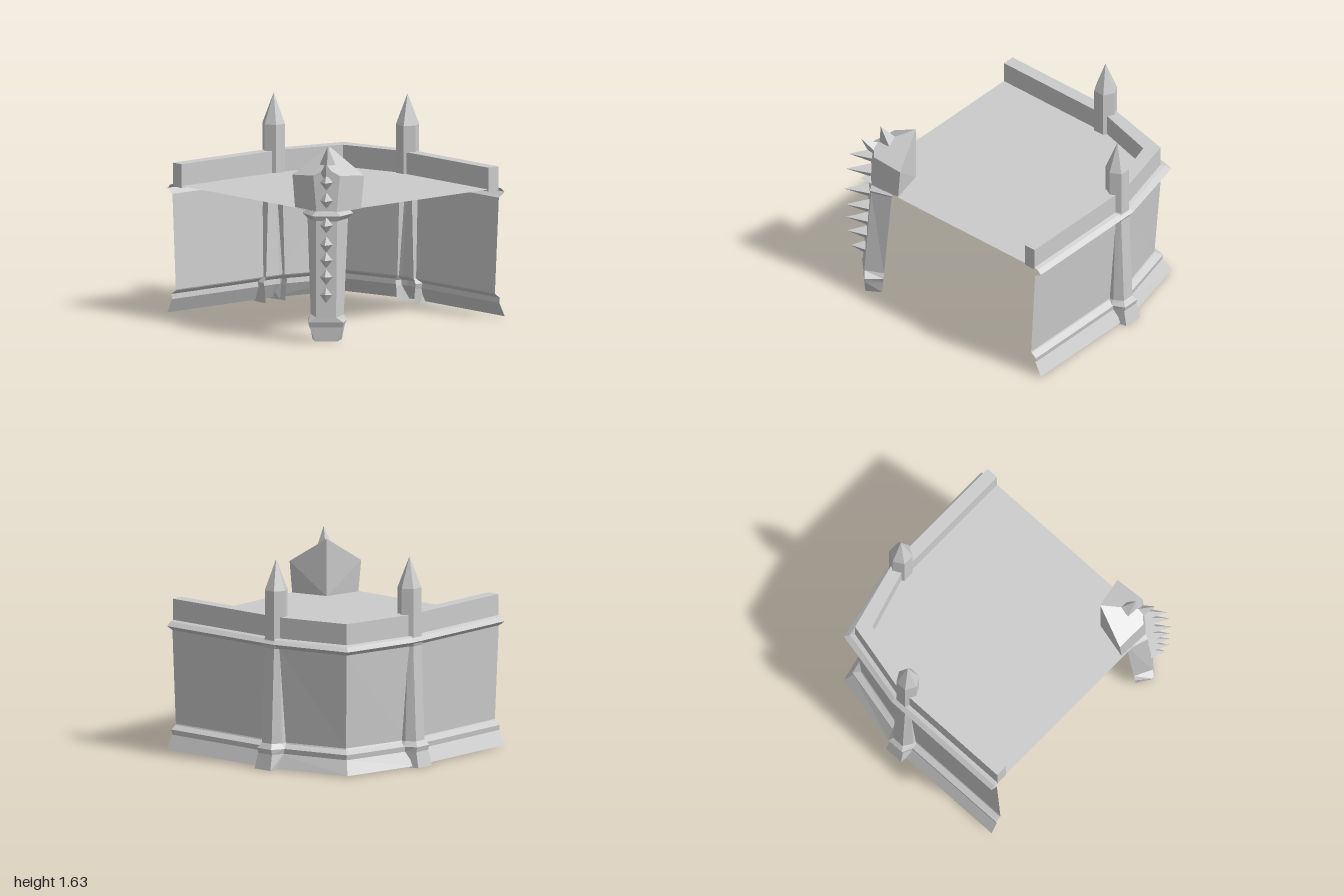
import * as THREE from 'three';
import { ConvexGeometry } from 'three/addons/geometries/ConvexGeometry.js';

const V = (x, y, z) => new THREE.Vector3(x, y, z);
const material = new THREE.MeshStandardMaterial({
  color: 0xcccccc, flatShading: true, side: THREE.DoubleSide,
});

function part(name, geometry, parent) {
  const mesh = new THREE.Mesh(geometry, material);
  mesh.name = name;
  parent.add(mesh);
  return mesh;
}

// Skin between successive rows of points; every row has the same count
function loft(rows) {
  const pos = [];
  const put = (...pts) => pts.forEach((p) => pos.push(p.x, p.y, p.z));
  for (let i = 0; i < rows.length - 1; i++) {
    for (let j = 0; j < rows[i].length - 1; j++) {
      const a = rows[i][j], b = rows[i][j + 1], c = rows[i + 1][j + 1], d = rows[i + 1][j];
      put(a, d, b, b, d, c);
    }
  }
  const g = new THREE.BufferGeometry();
  g.setAttribute('position', new THREE.Float32BufferAttribute(pos, 3));
  g.computeVertexNormals();
  return g;
}

// Plan of the wall, pushed outward by o from the parapet face
const wallPath = (o, y) => [
  V(-0.905, y, -0.88 - o),
  V(0.15, y, -0.88 - o),
  V(0.72 + 0.92 * o, y, -0.745 - 0.95 * o),
  V(0.865 + o, y, -0.18),
  V(0.865 + o, y, 0.895),
];

// Post with pointed cap, and the flared buttress below it; outward is +z
function addPost(parent, name, x, z, turn) {
  const group = new THREE.Group();
  group.name = name;
  group.position.set(x, 0, z);
  group.rotation.y = turn;
  parent.add(group);
  const shaft = part('postShaft', new THREE.CylinderGeometry(0.092, 0.092, 0.39, 6), group);
  shaft.position.y = 1.195;
  shaft.rotation.y = Math.PI / 6;
  const cap = part('postCap', new THREE.ConeGeometry(0.092, 0.24, 6, 1, true), group);
  cap.position.y = 1.51;
  cap.rotation.y = Math.PI / 6;
  // height, half width at wall, half width at face, reach
  const sections = [
    [1.02, 0.08, 0.05, 0.07], [0.98, 0.1, 0.06, 0.095], [0.94, 0.07, 0.048, 0.08],
    [0.2, 0.095, 0.05, 0.11], [0.16, 0.12, 0.07, 0.14], [0.12, 0.11, 0.07, 0.13],
    [0, 0.1, 0.08, 0.16],
  ];
  const rows = sections.map(([y, wi, wo, p]) => [
    V(-wi, y, -0.02), V(-wi, y, 0.04), V(-wo, y, p), V(wo, y, p), V(wi, y, 0.04), V(wi, y, -0.02),
  ]);
  rows.unshift(rows[0].map((p) => V(p.x, p.y, 0)));
  part('buttress', loft(rows), group);
}

// Spike from a root point to a tip, narrow across the corner diagonal
function addSpike(parent, root, tip, radius) {
  const dir = tip.clone().sub(root);
  const g = new THREE.ConeGeometry(radius, dir.length(), 4);
  g.translate(0, dir.length() / 2, 0);
  const side = V(1, 0, 1).normalize();
  const up = dir.clone().normalize();
  const basis = new THREE.Matrix4().makeBasis(side, up, side.clone().cross(up));
  g.scale(0.8, 1, 1);
  g.applyMatrix4(basis);
  g.translate(root.x, root.y, root.z);
  part('spike', g, parent);
}

export function createModel() {
  const model = new THREE.Group();
  model.name = 'cornerBastion';

  // Wall skin with the lower and upper mouldings: offset, height
  const profile = [
    [0, 1.02], [0.03, 1.01], [0.065, 0.98], [0.03, 0.955], [0.005, 0.94],
    [-0.035, 0.2], [-0.03, 0.19], [0.015, 0.16], [0.01, 0.12], [0.065, 0.01],
  ];
  part('wall', loft(profile.map(([o, y]) => wallPath(o, y))), model);

  // Parapet on the wall, closed at both ends
  const ring = [[-0.1, 1], [-0.1, 1.185], [0, 1.185], [0, 1], [-0.1, 1]];
  const parapetRows = ring.map(([o, y]) => wallPath(o, y));
  part('parapet', loft(parapetRows), model);
  for (const k of [0, 4]) {
    const p = parapetRows.map((row) => row[k]);
    part('parapetEnd', loft([[p[0], p[1]], [p[3], p[2]]]), model);
  }

  // Floor
  const floor = [V(-0.905, 1.015, 0.895), ...wallPath(-0.02, 1.015)];
  const outline = new THREE.Shape(floor.map((p) => new THREE.Vector2(p.x, -p.z)));
  const floorMesh = part('floor', new THREE.ShapeGeometry(outline), model);
  floorMesh.rotation.x = -Math.PI / 2;
  floorMesh.position.y = 1.015;

  addPost(model, 'backPost', 0.083, -0.833, Math.PI);
  addPost(model, 'sidePost', 0.825, -0.12, Math.PI / 2);

  // Leaning corner pillar, mirrored about the diagonal:
  // height, inner edge x and z, outer edge x and z
  const corner = new THREE.Group();
  corner.name = 'spikedCorner';
  model.add(corner);
  const sections = [
    [1.02, 0.63, 0.85, 0.79, 0.895], [0.98, 0.6, 0.88, 0.78, 0.935], [0.94, 0.63, 0.85, 0.79, 0.905],
    [0.2, 0.69, 0.87, 0.83, 0.94], [0.16, 0.68, 0.89, 0.79, 0.985], [0.12, 0.69, 0.88, 0.79, 0.97],
    [0.01, 0.71, 0.87, 0.82, 0.94],
  ];
  part('cornerPillar', loft(sections.map(([y, xi, zi, xo, zo]) => [
    V(-xi, y, zi), V(-xo, y, zo), V(-zo, y, xo), V(-zi, y, xi),
  ])), corner);

  // Sloped block on the corner
  const half = [
    [0.53, 1.01, 0.89], [0.79, 1.01, 0.9], [0.505, 1.265, 0.895], [0.76, 1.29, 0.905],
  ];
  const block = [V(-0.6, 1.01, 0.6), V(-0.6, 1.465, 0.6), V(-0.83, 1.345, 0.83)];
  for (const [a, y, b] of half) block.push(V(-a, y, b), V(-b, y, a));
  part('cornerBlock', new ConvexGeometry(block), corner);

  // Spikes down the corner edge, and two on top of the block
  const spikes = [
    [1.25, 0.965], [1.11, 0.98], [0.92, 0.99], [0.77, 0.985],
    [0.65, 0.98], [0.52, 0.975], [0.38, 0.955],
  ];
  for (const [y, t] of spikes) {
    const r = 0.885 - 0.035 * y;
    addSpike(corner, V(-r, y - 0.01, r), V(-t, y + 0.01, t), 0.062);
  }
  addSpike(corner, V(-0.75, 1.36, 0.75), V(-0.79, 1.51, 0.795), 0.075);
  addSpike(corner, V(-0.82, 1.3, 0.82), V(-0.9, 1.4, 0.9), 0.065);

  return model;
}
